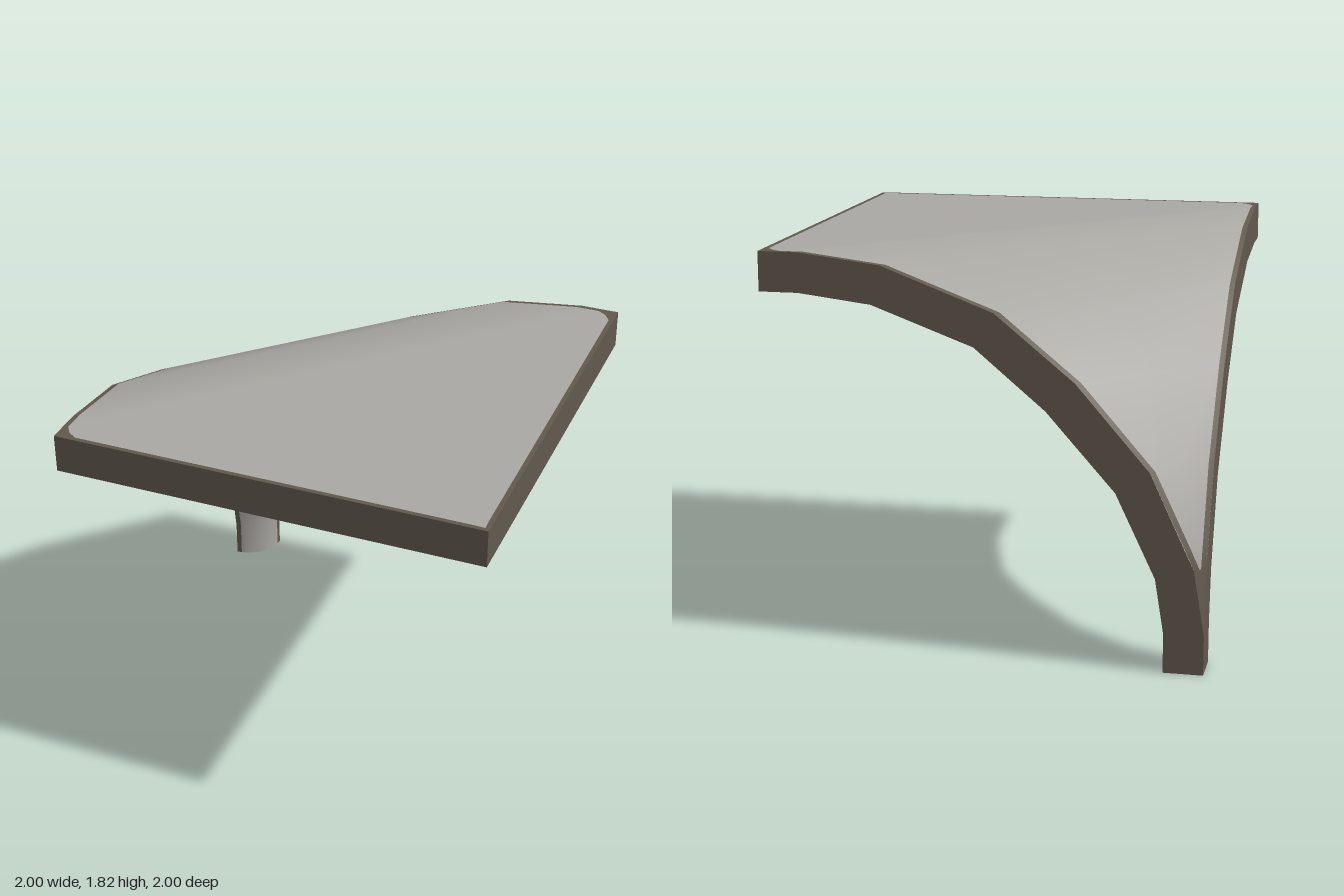
import * as THREE from 'three';

// Distances are measured from the corner that carries the foot (x = -1, z = -1).
const LOWER = [[0.18, 0], [0.18, 0.18], [0.22, 0.43], [0.4, 0.81], [0.71, 1.16], [1.03, 1.43], [1.49, 1.6], [1.82, 1.64]];
const UPPER = [[0, 0.18], [0.05, 0.48], [0.25, 0.91], [0.58, 1.29], [0.94, 1.585], [1.447, 1.775], [1.82, 1.82]];
const SEGMENTS = 6;

export function createModel() {
  const stone = new THREE.MeshStandardMaterial({ color: 0xaaa8a3 });
  stone.name = 'pale stone';
  const trim = new THREE.MeshStandardMaterial({ color: 0x62594d });
  trim.name = 'brown trim';

  const model = new THREE.Group();
  model.name = 'vaultCorner';
  const add = (name, geometry, material) => {
    const mesh = new THREE.Mesh(geometry, material);
    mesh.name = name;
    model.add(mesh);
    return mesh;
  };

  // Smooth sheet through rows of points; cells are stone or trim
  const sheet = (name, rows, isTrim, flip) => {
    const n = rows[0].length;
    const lists = [[], []];
    for (let i = 0; i < rows.length - 1; i++) {
      for (let j = 0; j < n - 1; j++) {
        const a = i * n + j, b = a + 1, d = a + n, c = d + 1;
        lists[isTrim(i, j, n) ? 1 : 0].push(...(flip ? [a, c, b, a, d, c] : [a, b, c, a, c, d]));
      }
    }
    const geo = new THREE.BufferGeometry();
    geo.setAttribute('position', new THREE.Float32BufferAttribute(rows.flat(2), 3));
    geo.setIndex([...lists[0], ...lists[1]]);
    geo.addGroup(0, lists[0].length, 0);
    geo.addGroup(lists[0].length, lists[1].length, 1);
    geo.computeVertexNormals();
    return add(name, geo, [stone, trim]);
  };

  // Top: straight lines ruled between the two curved edges, then the flat far half
  const topProfile = [...UPPER.slice(0, 2), [0.09, 0.57], ...UPPER.slice(2),
    [1.93, 1.82], [2, 1.82], [2.07, 1.82], [3.9, 1.82], [3.96, 1.82], [4, 1.82]];
  const topRows = topProfile.map(([r, y]) => {
    const hi = Math.min(r, 2), lo = r - hi, span = hi - lo;
    const inset = Math.min(r === 2 ? 0.05 : 0.022, span / 2);
    return [0, inset, span / 2, span - inset, span].map((s) => [hi - s - 1, y, lo + s - 1]);
  });
  sheet('topSurface', topRows,
    (i, j, n) => j === 0 || j === n - 2 || i < 1 || i >= topRows.length - 2, false);

  // Underside: quarter-round flare with dark rings and edge bands
  const lerpRow = (k, y) => {
    const [a, b] = [LOWER[k], LOWER[k + 1]];
    return [a[0] + (b[0] - a[0]) * (y - a[1]) / (b[1] - a[1]), y];
  };
  const flareProfile = [...LOWER.slice(0, 3), lerpRow(2, 0.785), LOWER[3], lerpRow(3, 0.83), LOWER[4],
    lerpRow(4, 1.42), LOWER[5], lerpRow(5, 1.442), LOWER[6], lerpRow(6, 1.637), LOWER[7]];
  const ringRows = [3, 4, 7, 8, 11];
  const step = Math.PI / 2 / SEGMENTS;
  const onArc = (r, u) => { // point on the faceted arc, u counted in segments
    const k = Math.min(Math.floor(u), SEGMENTS - 1), f = u - k;
    const p = (i, fn) => r * fn(i * step);
    return [p(k, Math.cos) * (1 - f) + p(k + 1, Math.cos) * f,
      p(k, Math.sin) * (1 - f) + p(k + 1, Math.sin) * f];
  };
  const flareRows = flareProfile.map(([r, y]) => {
    const band = Math.min(0.025 / r / step, 0.6);
    const us = [0, band];
    for (let k = 1; k < SEGMENTS; k++) us.push(k);
    us.push(SEGMENTS - band, SEGMENTS);
    return us.map((u) => {
      const [x, z] = onArc(r, u);
      return [x - 1, y, z - 1];
    });
  });
  sheet('flaredUnderside', flareRows,
    (i, j, n) => j === 0 || j === n - 2 || ringRows.includes(i), true);

  // Flat faces looking down: ceiling beyond the flare and sole of the foot
  const arc = (r) => Array.from({ length: SEGMENTS + 1 }, (_, k) => onArc(r, k));
  const flat = (points) => new THREE.ShapeGeometry(
    new THREE.Shape(points.map(([x, y]) => new THREE.Vector2(x, y))));
  add('flatUnderside', flat([...arc(1.82), [0, 2], [2, 2], [2, 0]])
    .rotateX(Math.PI / 2).translate(-1, 1.64, -1), stone);
  add('footSole', flat([[0, 0], ...arc(0.18)])
    .rotateX(Math.PI / 2).translate(-1, 0, -1), trim);

  // Curved side faces on the two arched sides
  const rib = [...LOWER, [2, 1.64], [2, 1.82], ...UPPER.slice().reverse(), [0, 0]];
  add('rightArchFace', flat(rib).rotateY(-Math.PI / 2).translate(-1, 0, -1), trim);
  add('backArchFace', flat(rib.map(([r, y]) => [-r, y])).rotateY(Math.PI).translate(-1, 0, -1), trim);

  // Straight edges of the slab
  add('frontEdge', new THREE.PlaneGeometry(2, 0.18).translate(0, 1.73, 1), trim);
  add('leftEdge', new THREE.PlaneGeometry(2, 0.18).translate(0, 1.73, 1).rotateY(Math.PI / 2), trim);

  return model;
}
